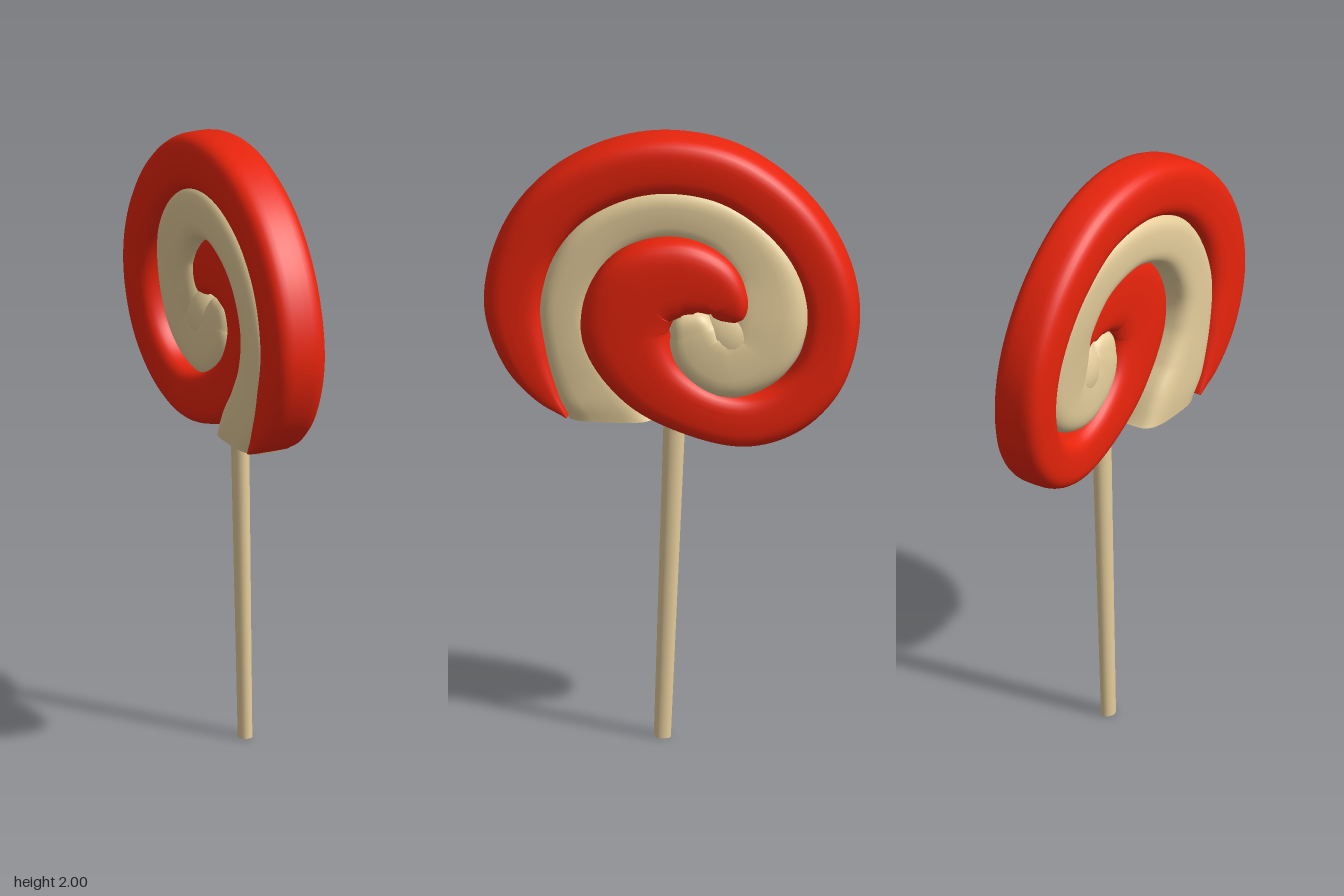
import * as THREE from 'three';

const RED = new THREE.MeshStandardMaterial({ color: 0xe8240c });
const CREAM = new THREE.MeshStandardMaterial({ color: 0xe6ce9c });

// Sweep a soft rounded-square section along a path.
// Each station: [z, y, x, half width, half depth]
// levelFrom: where along the path (0..1) the section starts turning level
function candyRope(name, stations, material, levelFrom = 1, steps = 220, sides = 32) {
  const path = new THREE.CatmullRomCurve3(
    stations.map(([z, y, x]) => new THREE.Vector3(x, y, z)), false, 'catmullrom');
  const size = new THREE.CatmullRomCurve3(
    stations.map(([, , , w, d]) => new THREE.Vector3(w, d, 0)), false, 'catmullrom');
  const soft = (v) => Math.sign(v) * Math.abs(v) ** 0.6;
  const pos = [], index = [];

  for (let i = 0; i <= steps; i++) {
    const t = i / steps;
    const p = path.getPoint(t), s = size.getPoint(t), tan = path.getTangent(t);
    const level = t > levelFrom ? THREE.MathUtils.smoothstep(t, levelFrom, 1) : 0;
    const across = new THREE.Vector3(0, tan.z * (1 - level), -tan.y).normalize();
    for (let j = 0; j < sides; j++) {
      const a = (j / sides) * Math.PI * 2;
      const u = soft(Math.cos(a)) * Math.max(s.x, 0.003);
      const v = soft(Math.sin(a)) * Math.max(s.y, 0.003);
      pos.push(p.x + v, p.y + across.y * u, p.z + across.z * u);
      if (i < steps) {
        const k = (j + 1) % sides, r = i * sides, q = r + sides;
        index.push(r + j, q + j, r + k, q + j, q + k, r + k);
      }
    }
  }

  // End caps with their own rim vertices, so the cut stays crisp
  for (const end of [0, 1]) {
    const base = pos.length / 3, rim = end * steps * sides;
    for (let j = 0; j < sides; j++) {
      for (let c = 0; c < 3; c++) pos.push(pos[(rim + j) * 3 + c]);
    }
    const p = path.getPoint(end);
    pos.push(p.x, p.y, p.z);
    for (let j = 0; j < sides; j++) {
      const a = base + j, b = base + (j + 1) % sides;
      index.push(base + sides, end ? b : a, end ? a : b);
    }
  }

  const geo = new THREE.BufferGeometry();
  geo.setAttribute('position', new THREE.Float32BufferAttribute(pos, 3));
  geo.setIndex(index);
  geo.computeVertexNormals();
  const mesh = new THREE.Mesh(geo, material);
  mesh.name = name;
  return mesh;
}

export function createModel() {
  const model = new THREE.Group();
  model.name = 'lollipop';

  // Red rope: wedge-shaped outer end, rounded inner hook
  model.add(candyRope('redSwirl', [
    [0.33, 1.06, -0.04, 0.006, 0.075],
    [0.40, 1.14, -0.04, 0.047, 0.085],
    [0.465, 1.26, -0.04, 0.08, 0.09],
    [0.503, 1.43, -0.04, 0.094, 0.09],
    [0.46, 1.62, -0.04, 0.094, 0.09],
    [0.345, 1.775, -0.038, 0.094, 0.09],
    [0.18, 1.873, -0.036, 0.094, 0.09],
    [0, 1.906, -0.035, 0.094, 0.09],
    [-0.19, 1.868, -0.034, 0.092, 0.088],
    [-0.36, 1.745, -0.033, 0.09, 0.088],
    [-0.472, 1.58, -0.031, 0.086, 0.088],
    [-0.511, 1.41, -0.026, 0.083, 0.087],
    [-0.478, 1.24, -0.014, 0.083, 0.086],
    [-0.38, 1.122, 0, 0.084, 0.085],
    [-0.24, 1.074, 0.012, 0.086, 0.085],
    [-0.08, 1.112, 0.024, 0.09, 0.087],
    [0.065, 1.212, 0.036, 0.112, 0.089],
    [0.142, 1.365, 0.038, 0.14, 0.089],
    [0.095, 1.502, 0.038, 0.142, 0.089],
    [-0.02, 1.551, 0.036, 0.13, 0.087],
    [-0.122, 1.532, 0.034, 0.108, 0.084],
    [-0.182, 1.475, 0.033, 0.075, 0.077],
    [-0.183, 1.425, 0.033, 0.052, 0.058],
    [-0.175, 1.39, 0.033, 0.004, 0.006],
  ], RED));

  // Cream rope: rounded tip in the centre, level cut at the bottom
  model.add(candyRope('creamSwirl', [
    [-0.065, 1.46, 0.032, 0.004, 0.006],
    [-0.066, 1.425, 0.032, 0.052, 0.058],
    [-0.077, 1.37, 0.03, 0.08, 0.073],
    [-0.105, 1.305, 0.028, 0.102, 0.077],
    [-0.185, 1.265, 0.025, 0.113, 0.078],
    [-0.28, 1.31, 0.018, 0.113, 0.078],
    [-0.31, 1.42, 0.008, 0.126, 0.08],
    [-0.29, 1.57, -0.01, 0.112, 0.08],
    [-0.175, 1.7, -0.025, 0.095, 0.08],
    [0, 1.745, -0.035, 0.085, 0.08],
    [0.16, 1.7, -0.04, 0.085, 0.08],
    [0.272, 1.6, -0.04, 0.085, 0.08],
    [0.335, 1.45, -0.04, 0.085, 0.08],
    [0.325, 1.31, -0.04, 0.09, 0.08],
    [0.28, 1.19, -0.04, 0.108, 0.08],
    [0.23, 1.11, -0.038, 0.126, 0.08],
    [0.195, 1.05, -0.038, 0.135, 0.075],
  ], CREAM, 0.8));

  // Soft pillow filling the middle of the cream curl
  const centre = new THREE.Mesh(new THREE.SphereGeometry(1, 32, 24), CREAM);
  centre.name = 'creamCentre';
  centre.scale.set(0.078, 0.115, 0.115);
  centre.position.set(0.021, 1.345, -0.19);
  model.add(centre);

  // Slightly tapered, leaning stick
  const length = 1.14;
  const stick = new THREE.Mesh(new THREE.CylinderGeometry(0.035, 0.027, length, 24), CREAM);
  stick.name = 'stick';
  stick.scale.x = 0.82;
  stick.position.set(0.029, length / 2, 0.006);
  stick.rotation.x = -0.036;
  model.add(stick);

  return model;
}
